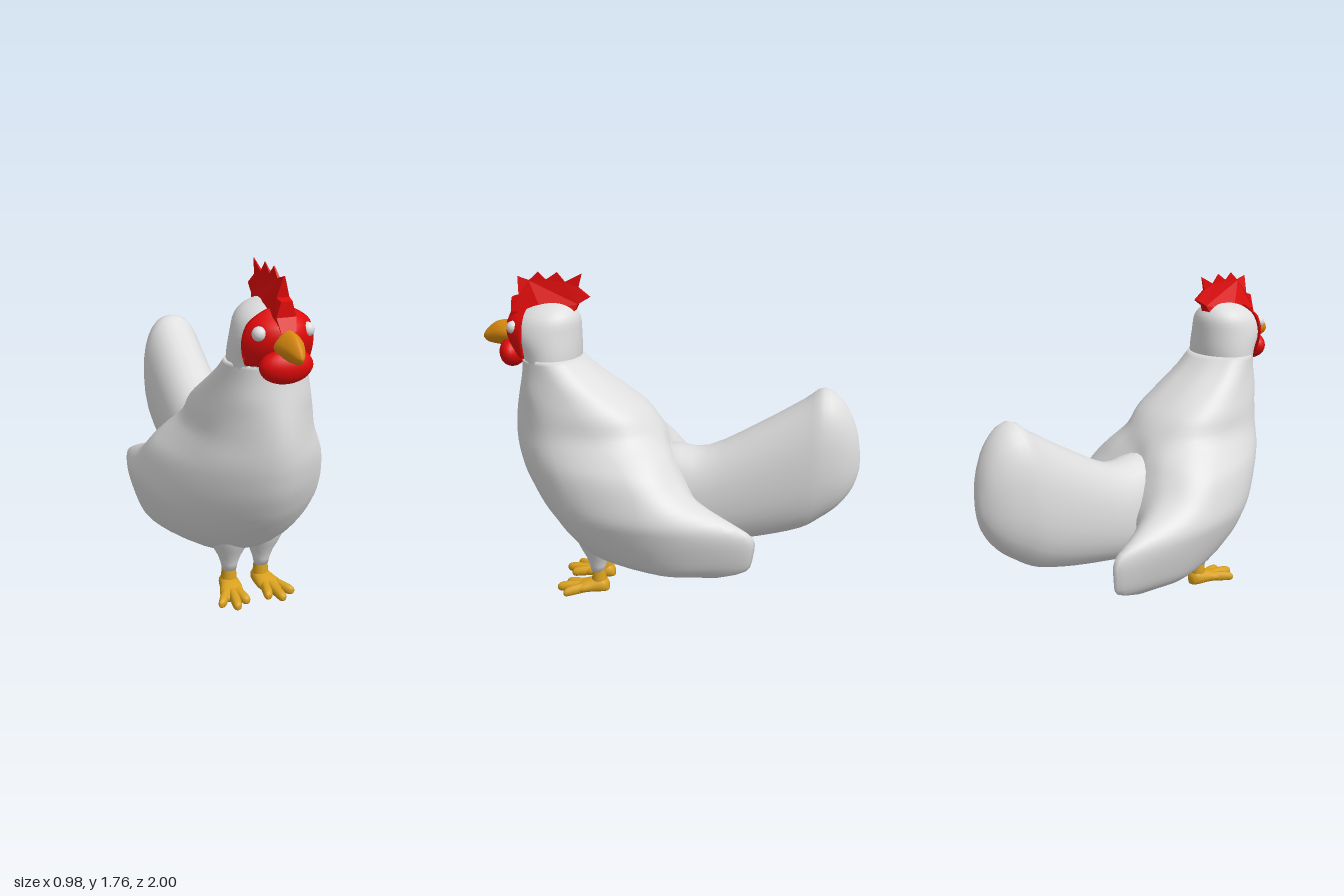
import * as THREE from 'three';

const mat = (name, color) => Object.assign(new THREE.MeshStandardMaterial({ color }), { name });

// Rounds a list of section parameters with a Catmull-Rom curve.
function refine(sections, k = 3) {
  const out = [];
  const at = (i) => sections[Math.min(Math.max(i, 0), sections.length - 1)];
  const blend = (a, b, c, d, t) => {
    const cubic = 3 * (b - c) + d - a;
    const square = 2 * a - 5 * b + 4 * c - d;
    return b + 0.5 * t * (c - a + t * (square + t * cubic));
  };
  for (let i = 0; i < sections.length - 1; i++) {
    for (let j = 0; j < k; j++) {
      out.push(at(i).map((v, m) => blend(at(i - 1)[m], v, at(i + 1)[m], at(i + 2)[m], j / k)));
    }
  }
  out.push(at(sections.length));
  return out;
}

// Skins closed rings of points and closes both ends with fans.
function loft(rings) {
  const n = rings[0].length, pos = [], idx = [];
  rings.forEach((r) => r.forEach((p) => pos.push(...p)));
  for (let i = 0; i < rings.length - 1; i++) {
    for (let j = 0; j < n; j++) {
      const a = i * n + j, b = i * n + (j + 1) % n;
      idx.push(a, b, b + n, a, b + n, a + n);
    }
  }
  [0, rings.length - 1].forEach((r, end) => {
    const c = pos.length / 3;
    pos.push(...[0, 1, 2].map((m) => rings[r].reduce((s, p) => s + p[m], 0) / n));
    for (let j = 0; j < n; j++) {
      const a = r * n + j, b = r * n + (j + 1) % n;
      idx.push(...(end ? [a, b, c] : [b, a, c]));
    }
  });
  const g = new THREE.BufferGeometry();
  g.setAttribute('position', new THREE.Float32BufferAttribute(pos, 3));
  g.setIndex(idx);
  g.computeVertexNormals();
  return g;
}

// Sections along z: [z, centreX, halfWidth, top, bottom]; power shapes the outline.
function loftZ(sections, n = 24, power = 1) {
  const s = (v) => Math.sign(v) * Math.abs(v) ** power;
  return loft(refine(sections).map(([z, cx, hw, top, bot]) => Array.from({ length: n }, (_, j) => {
    const a = (j / n) * Math.PI * 2;
    return [cx + hw * s(Math.cos(a)), (top + bot) / 2 + (top - bot) / 2 * s(Math.sin(a)), z];
  })));
}

// Oval sections along y: [y, back, front, halfWidth]; with clip, only the arc in front of that z.
function loftY(sections, n, clip = null) {
  return loft(refine(sections).map(([y, back, front, hw]) => {
    const c = (front + back) / 2, r = (front - back) / 2;
    let start = Math.PI * 2, step = start / n;
    if (clip !== null) {
      const edge = Math.asin(THREE.MathUtils.clamp((clip - c) / r, -1, 1));
      start = Math.PI - edge;
      step = (start - edge) / (n - 1);
    }
    return Array.from({ length: n }, (_, j) => {
      const a = start - j * step;
      return [hw * Math.cos(a), y, c + r * Math.sin(a)];
    });
  }));
}

// Winged sections along y: [y, breast z, shoulder x z, widest x z, wing tip x z, notch x z, back z].
function loftWinged(sections, n) {
  return loft(refine(sections).map(([y, breast, sx, sz, wx, wz, tx, tz, nx, nz, back]) => {
    const half = [[sx, sz], [wx, wz], [wx + 0.3 * (tx - wx), wz + 0.65 * (tz - wz)], [tx, tz], [nx, nz]];
    const mirrored = half.map(([x, z]) => [-x, z]).reverse();
    const loop = [[0, breast], ...half, [0, back], ...mirrored].map(([x, z]) => new THREE.Vector3(x, y, z));
    const curve = new THREE.CatmullRomCurve3(loop, true);
    return Array.from({ length: n }, (_, j) => curve.getPoint(j / n).toArray());
  }));
}

export function createModel() {
  const model = new THREE.Group();
  model.name = 'hen';
  const white = mat('white feathers', 0xdedede);
  const red = mat('red skin', 0xe00909);
  const orange = mat('orange beak', 0xd9890f);
  const gold = mat('golden feet', 0xd9a11e);
  const add = (name, geometry, material, parent = model) => {
    const m = new THREE.Mesh(geometry, material);
    m.name = name;
    parent.add(m);
    return m;
  };

  // Breast, back and both folded wings in one skin
  add('bodyAndWings', loftWinged([
    [0.25, 0.44, 0.16, 0.40, 0.36, 0.00, 0.335, -0.30, 0.27, -0.15, 0.10],
    [0.30, 0.52, 0.24, 0.40, 0.405, 0.03, 0.345, -0.44, 0.25, -0.16, 0.00],
    [0.40, 0.61, 0.30, 0.45, 0.445, 0.06, 0.36, -0.475, 0.22, -0.17, -0.10],
    [0.50, 0.69, 0.34, 0.48, 0.475, 0.08, 0.365, -0.47, 0.20, -0.17, -0.15],
    [0.58, 0.74, 0.35, 0.51, 0.488, 0.10, 0.37, -0.34, 0.19, -0.17, -0.16],
    [0.68, 0.79, 0.34, 0.55, 0.465, 0.12, 0.33, -0.13, 0.19, -0.12, -0.10],
    [0.78, 0.82, 0.31, 0.60, 0.425, 0.17, 0.26, -0.05, 0.15, -0.06, -0.04],
    [0.86, 0.835, 0.28, 0.63, 0.365, 0.23, 0.21, 0.00, 0.10, -0.01, 0.00],
    [0.95, 0.84, 0.245, 0.65, 0.305, 0.36, 0.19, 0.09, 0.10, 0.05, 0.035],
    [1.05, 0.83, 0.215, 0.68, 0.285, 0.43, 0.19, 0.17, 0.10, 0.125, 0.11],
    [1.15, 0.81, 0.18, 0.72, 0.252, 0.50, 0.17, 0.30, 0.09, 0.25, 0.24],
    [1.25, 0.79, 0.15, 0.735, 0.22, 0.58, 0.145, 0.43, 0.08, 0.39, 0.38],
    [1.33, 0.785, 0.135, 0.745, 0.2, 0.63, 0.13, 0.51, 0.07, 0.48, 0.47],
  ], 60), white);

  // Head
  add('head', loftY([
    [1.29, 0.475, 0.78, 0.195], [1.36, 0.47, 0.80, 0.194], [1.45, 0.47, 0.85, 0.186],
    [1.53, 0.475, 0.82, 0.162], [1.58, 0.51, 0.745, 0.11], [1.605, 0.56, 0.68, 0.04],
  ], 36), white);

  // Upright tail
  add('tail', loftZ([
    [-1.0, 0, 0.02, 0.85, 0.76], [-0.97, 0, 0.08, 1.0, 0.66], [-0.9, 0, 0.14, 1.13, 0.56],
    [-0.8, 0, 0.18, 1.195, 0.48], [-0.7, 0, 0.19, 1.13, 0.42], [-0.48, 0, 0.19, 0.995, 0.36],
    [-0.2, 0, 0.185, 0.85, 0.31], [0, 0, 0.18, 0.86, 0.28], [0.25, 0, 0.16, 0.8, 0.27],
  ], 28, 0.9), white);

  // Red face wrapped over the front of the head
  add('face', loftY([
    [1.335, 0.47, 0.81, 0.2], [1.40, 0.47, 0.85, 0.195], [1.46, 0.47, 0.865, 0.19],
    [1.52, 0.475, 0.85, 0.171], [1.56, 0.495, 0.80, 0.138], [1.585, 0.53, 0.765, 0.1],
  ], 24, 0.745), red);
  const wattle = add('wattle', new THREE.SphereGeometry(1, 24, 16), red);
  wattle.scale.set(0.128, 0.082, 0.068);
  wattle.position.set(0, 1.344, 0.84);

  // Comb: toothed plate, thick at the base and thin at the tips
  const outline = [
    [0.86, 1.50], [0.83, 1.56], [0.83, 1.63], [0.79, 1.64], [0.80, 1.735], [0.74, 1.715],
    [0.69, 1.76], [0.65, 1.72], [0.59, 1.76], [0.55, 1.71], [0.46, 1.755], [0.48, 1.685],
    [0.42, 1.635], [0.48, 1.60], [0.50, 1.56], [0.58, 1.56], [0.66, 1.56], [0.74, 1.52],
  ].map((q) => new THREE.Vector2(...q));
  const comb = new THREE.ExtrudeGeometry(new THREE.Shape(outline), { depth: 1, bevelEnabled: false });
  const p = comb.attributes.position;
  for (let i = 0; i < p.count; i++) {
    const z = p.getX(i), y = p.getY(i), d = p.getZ(i);
    const width = 0.02 + 0.05 * THREE.MathUtils.clamp(Math.min((z - 0.46) / 0.26, (0.9 - z) / 0.14), 0, 1);
    const thick = 0.002 + width * THREE.MathUtils.clamp((1.75 - y) / 0.17, 0, 1) ** 1.7;
    p.setXYZ(i, (1 - 2 * d) * thick, y, z);
  }
  comb.computeVertexNormals();
  add('comb', comb, red);

  // Hooked beak
  add('beak', loftZ([
    [0.83, 0, 0.07, 1.51, 1.37], [0.88, 0, 0.064, 1.508, 1.372], [0.93, 0, 0.046, 1.495, 1.376],
    [0.98, 0, 0.022, 1.455, 1.388], [1.0, 0, 0.004, 1.424, 1.41],
  ], 16, 1.3), orange);

  for (const side of [1, -1]) {
    const label = side > 0 ? 'left' : 'right';

    add(label + 'Eye', new THREE.SphereGeometry(0.034, 16, 12), white)
      .position.set(side * 0.115, 1.49, 0.802);

    // Feathered thigh
    const thigh = [
      [0, 0.125], [0.038, 0.125], [0.045, 0.16], [0.062, 0.21], [0.088, 0.26], [0.12, 0.33], [0.14, 0.42],
    ].map((q) => new THREE.Vector2(...q));
    add(label + 'Thigh', new THREE.LatheGeometry(thigh, 20), white)
      .position.set(side * 0.09, 0, 0.395);

    // Foot with three splayed toes
    const foot = new THREE.Group();
    foot.name = label + 'Foot';
    model.add(foot);
    add('ankle', new THREE.CylinderGeometry(0.036, 0.045, 0.1, 16), gold, foot)
      .position.set(side * 0.09, 0.085, 0.39);
    add('sole', loftZ([
      [0.335, side * 0.088, 0.02, 0.05, 0.006], [0.36, side * 0.09, 0.045, 0.08, 0],
      [0.42, side * 0.095, 0.055, 0.075, 0], [0.48, side * 0.108, 0.064, 0.06, 0.002],
      [0.53, side * 0.115, 0.045, 0.04, 0.005],
    ], 16, 0.85), gold, foot);
    for (const [x, z] of [[0.06, 0.58], [0.125, 0.62], [0.195, 0.57]]) {
      const at = (t) => [0.4 + (z - 0.4) * t, side * (0.095 + (x - 0.095) * t)];
      add('toe', loftZ([
        [...at(0.2), 0.025, 0.06, 0.005], [...at(0.7), 0.026, 0.055, 0],
        [...at(0.93), 0.022, 0.046, 0], [...at(1), 0.008, 0.032, 0.01],
      ], 12, 0.9), gold, foot);
    }
  }
  return model;
}
